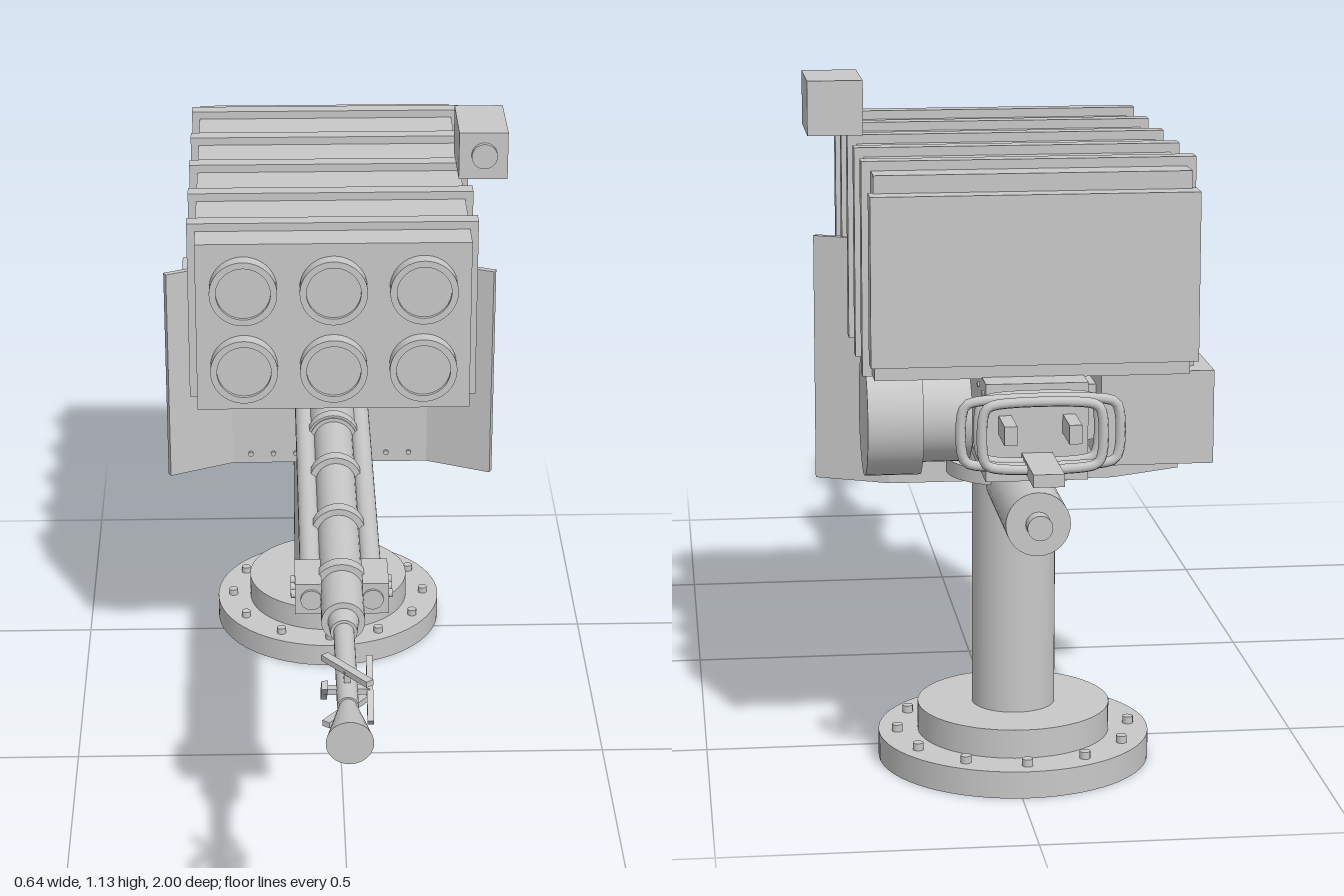
import * as THREE from 'three';

export function createModel() {
  const model = new THREE.Group();
  const root = new THREE.Group();
  root.name = 'mount';
  root.position.x = -0.012;
  model.add(root);

  const grey = new THREE.MeshStandardMaterial({ color: 0xc8c8c8 });
  grey.name = 'light grey';
  const greyThin = grey.clone();
  greyThin.side = THREE.DoubleSide;

  const add = (name, geo, x = 0, y = 0, z = 0, mat = grey) => {
    const m = new THREE.Mesh(geo, mat);
    m.name = name;
    m.position.set(x, y, z);
    root.add(m);
    return m;
  };
  // box given by its limits
  const box = (name, x0, x1, y0, y1, z0, z1) =>
    add(name, new THREE.BoxGeometry(x1 - x0, y1 - y0, z1 - z0), (x0 + x1) / 2, (y0 + y1) / 2, (z0 + z1) / 2);
  const cylY = (name, r, y0, y1, x, z, seg = 48, rTop = r) =>
    add(name, new THREE.CylinderGeometry(rTop, r, y1 - y0, seg), x, (y0 + y1) / 2, z);
  const cylZ = (name, r, z0, z1, x, y, seg = 32, rFront = r) =>
    add(name, new THREE.CylinderGeometry(rFront, r, z1 - z0, seg).rotateX(Math.PI / 2), x, y, (z0 + z1) / 2);
  const cylX = (name, r, x0, x1, y, z, seg = 48) =>
    add(name, new THREE.CylinderGeometry(r, r, x1 - x0, seg).rotateZ(Math.PI / 2), (x0 + x1) / 2, y, z);

  // pedestal
  const pz = -0.567;
  cylY('baseFlange', 0.226, 0, 0.045, 0, pz, 64);
  cylY('baseStep', 0.16, 0.045, 0.093, 0, pz, 64);
  cylY('column', 0.069, 0.093, 0.5, 0, pz);
  cylY('turntable', 0.112, 0.49, 0.515, 0, pz);
  cylY('turntableNeck', 0.085, 0.515, 0.555, 0, pz);
  for (let i = 0; i < 12; i++) {
    const a = (i * Math.PI) / 6;
    cylY('baseBolt', 0.009, 0.045, 0.057, Math.sin(a) * 0.195, pz + Math.cos(a) * 0.195, 12);
  }

  // traverse motor
  cylZ('traverseMotor', 0.051, -0.88, -0.57, 0, 0.48);
  cylZ('motorStub', 0.02, -0.905, -0.88, 0, 0.48, 20);

  // receiver, trunnion and side box
  box('receiver', -0.08, 0.08, 0.545, 0.7, -0.86, -0.4);
  cylX('trunnionShaft', 0.08, 0.08, 0.16, 0.596, -0.593);
  cylX('trunnionDrum', 0.1, 0.16, 0.25, 0.596, -0.593);
  box('ammunitionBox', -0.29, -0.11, 0.55, 0.7, -0.795, -0.535);
  box('boxBracket', -0.11, -0.08, 0.58, 0.67, -0.74, -0.59);
  for (const s of [-1, 1]) for (const y of [0.565, 0.68]) for (let i = 0; i < 7; i++)
    cylX('receiverRivet', 0.005, s * 0.08 - 0.003, s * 0.08 + 0.003, y, -0.435 - i * 0.066, 8);

  // rear buffer loops and handle bar
  const loop = (w, h, z) => {
    const pts = [], c = 0.02;
    for (const [sx, sy, a0] of [[1, 1, 0], [-1, 1, 1], [-1, -1, 2], [1, -1, 3]])
      for (let k = 0; k <= 2; k++) {
        const a = (a0 + k / 2) * Math.PI / 2;
        pts.push(new THREE.Vector3(sx * (w - c) + Math.cos(a) * c, sy * (h - c) + Math.sin(a) * c, 0));
      }
    const curve = new THREE.CatmullRomCurve3(pts, true, 'centripetal');
    add('bufferLoop', new THREE.TubeGeometry(curve, 64, 0.008, 8, true), 0, 0.633, z);
  };
  loop(0.092, 0.05, -0.88);
  loop(0.122, 0.05, -0.904);
  loop(0.092, 0.05, -0.928);
  for (const s of [-1, 1]) box('loopGuide', s * 0.05 - 0.01, s * 0.05 + 0.01, 0.62, 0.65, -0.935, -0.86);
  box('rearBar', -0.024, 0.024, 0.57, 0.59, -1, -0.85);

  // shield with two wings folded forward
  box('shieldPanel', -0.193, 0.193, 0.43, 0.61, -0.402, -0.39);
  box('shieldSlotPlate', -0.193, 0.193, 0.61, 0.66, -0.408, -0.398);
  box('shieldUpperPanel', -0.193, 0.193, 0.66, 0.72, -0.402, -0.39);
  for (const s of [-1, 1]) {
    const wing = add('shieldWing', new THREE.BoxGeometry(0.134, 0.42, 0.012), s * 0.251, 0.64, -0.368);
    wing.rotation.y = -s * Math.atan2(0.055, 0.119);
  }
  for (let i = 0; i < 8; i++)
    cylZ('shieldRivet', 0.005, -0.39, -0.385, -0.154 + i * 0.044, 0.45, 10);

  // launcher box with bands and rear lid
  box('launcherBox', -0.248, 0.248, 0.698, 1.02, -0.808, -0.058);
  box('rearLid', -0.256, 0.256, 0.725, 0.992, -0.843, -0.8);
  for (let i = 0; i < 5; i++) {
    const z = -0.137 - i * 0.1515;
    box('bandTop', -0.263, 0.263, 1.015, 1.035, z - 0.015, z + 0.015);
    for (const s of [-1, 1]) {
      box('bandSide', s * 0.254 - 0.009, s * 0.254 + 0.009, 0.695, 1.025, z - 0.015, z + 0.015);
      if (i < 4) for (const y of [0.715, 0.998])
        cylX('boxRivet', 0.006, s * 0.249 - 0.004, s * 0.249 + 0.004, y, z - 0.076, 8);
    }
  }

  // six launch tube ends: raised ring with a recessed cap
  const ring = [[0.049, 0], [0.061, 0], [0.061, 0.03], [0.049, 0.03], [0.049, 0]];
  for (const y of [0.783, 0.935]) for (const x of [-0.162, 0, 0.162]) {
    const pts = [];
    ring.forEach(([r, h], i) => {
      // doubled corners keep the ring edges crisp
      pts.push(new THREE.Vector2(r, h));
      if (i > 0 && i < 4) pts.push(new THREE.Vector2(r, h));
    });
    add('tubeRing', new THREE.LatheGeometry(pts, 48).rotateX(Math.PI / 2), x, y, -0.06, greyThin);
    cylZ('tubeCap', 0.0495, -0.06, -0.037, x, y, 48);
  }

  // sight
  box('sightBox', 0.239, 0.33, 1.038, 1.128, -0.485, -0.33);
  cylZ('sightLens', 0.024, -0.33, -0.32, 0.286, 1.085);

  // barrel assembly
  const by = 0.622;
  cylZ('barrelSleeve', 0.043, -0.41, -0.085, 0, by);
  cylZ('barrelShroud', 0.036, -0.085, 0.615, 0, by);
  cylZ('barrelCollar', 0.026, 0.61, 0.65, 0, by, 32, 0.022);
  cylZ('barrel', 0.017, 0.64, 0.89, 0, by, 24);
  for (const z of [0.49, 0.285, 0.08, -0.1, -0.25])
    cylZ('barrelRing', 0.047, z - 0.012, z + 0.012, 0, by);
  for (const s of [-1, 1]) {
    cylZ('recoilTube', 0.018, -0.41, 0.54, s * 0.051, by, 20);
    box('tubeClamp', s * 0.056 - 0.022, s * 0.056 + 0.022, by - 0.028, by + 0.028, 0.445, 0.535);
    for (const z of [0.465, 0.49, 0.515])
      cylX('clampBolt', 0.007, s * 0.08 - 0.005, s * 0.08 + 0.005, by, z, 10);
  }

  // four slanted bars around the muzzle
  for (let i = 0; i < 4; i++) {
    const pivot = new THREE.Group();
    pivot.name = 'muzzleBarPivot';
    pivot.position.set(0, by, 0.837);
    pivot.rotation.z = (i * Math.PI) / 2;
    const bar = new THREE.Mesh(new THREE.BoxGeometry(0.014, 0.01, 0.112), grey);
    bar.name = 'muzzleBar';
    bar.position.y = 0.036;
    bar.rotation.y = 0.66;
    const post = new THREE.Mesh(new THREE.BoxGeometry(0.01, 0.024, 0.014), grey);
    post.name = 'muzzleBarPost';
    post.position.y = 0.024;
    pivot.add(bar, post);
    root.add(pivot);
  }

  // flared muzzle
  cylZ('flashCone', 0.01, 0.87, 1, 0, by, 32, 0.037);

  return model;
}
